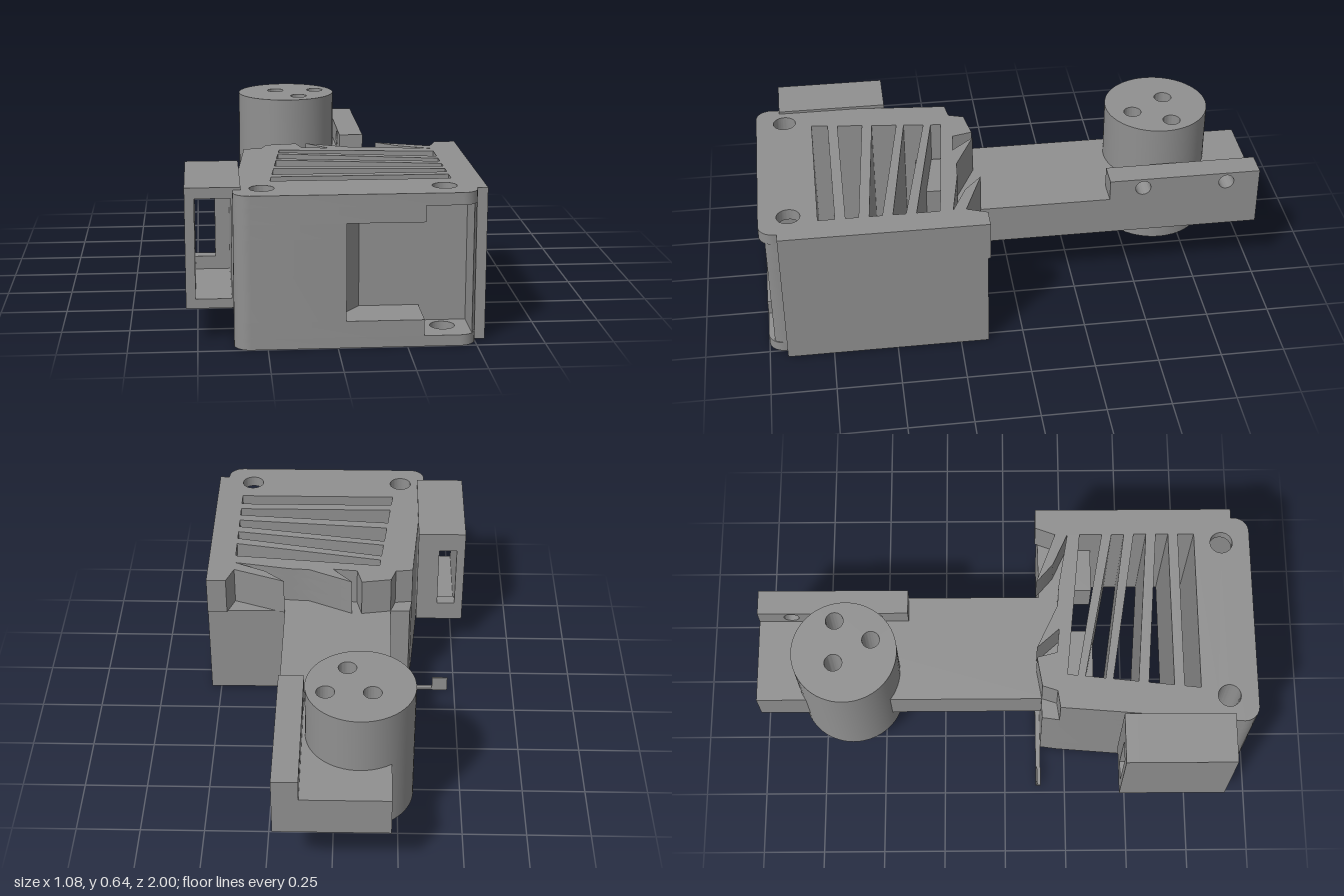
import * as THREE from 'three';
import { toCreasedNormals } from 'three/addons/utils/BufferGeometryUtils.js';

// Footprint helpers: points are [x, z] pairs, seen from above
const poly = (pts, Type = THREE.Path) => new Type(pts.map(([x, z]) => new THREE.Vector2(x, -z)));
const disc = (x, z, r, Type = THREE.Path) => {
  const p = new Type();
  p.absarc(x, -z, r, 0, Math.PI * 2);
  return p;
};

function extrude(shape, holes, depth) {
  shape.holes.push(...holes);
  const g = new THREE.ExtrudeGeometry(shape, { depth, bevelEnabled: false, curveSegments: 32 });
  return toCreasedNormals(g, 0.6);
}

// Upright prism from a footprint
function prism(shape, holes, y0, y1) {
  return extrude(shape, holes, y1 - y0).rotateX(-Math.PI / 2).translate(0, y0, 0);
}

export function createModel() {
  const grey = new THREE.MeshStandardMaterial({ color: 0x909090, side: THREE.DoubleSide });
  grey.name = 'grey plastic';
  const model = new THREE.Group();
  model.name = 'ventedBracket';

  const add = (name, geometry, parent = model) => {
    const m = new THREE.Mesh(geometry, grey);
    m.name = name;
    parent.add(m);
    return m;
  };
  const box = (name, x0, x1, y0, y1, z0, z1) =>
    add(name, new THREE.BoxGeometry(x1 - x0, y1 - y0, z1 - z0)
      .translate((x0 + x1) / 2, (y0 + y1) / 2, (z0 + z1) / 2));

  // Housing: stacked layers, each with its own rear edge and front pocket
  const plainRear = [[0.54, 0.14], [-0.3, 0.15], [-0.31, 0.22]];
  const brokenRear = [
    [0.54, 0.13], [0.46, 0.13], [0.43, 0.21], [0.22, 0.13], [0.3, 0.2], [0.43, 0.26],
    [0.2, 0.22], [0.12, 0.215], [-0.06, 0.13], [0.02, 0.22], [-0.08, 0.21],
    [-0.1, 0.13], [-0.22, 0.15], [-0.24, 0.21], [-0.31, 0.22],
  ];
  const arc = (cx, cz, r, a0, a1) => Array.from({ length: 9 }, (_, i) => {
    const a = a0 + (a1 - a0) * i / 8;
    return [cx + r * Math.cos(a), cz + r * Math.sin(a)];
  });
  const leftCorner = arc(-0.31, 0.94, 0.06, Math.PI, Math.PI / 2);
  const rightCorner = arc(0.44, 0.94, 0.06, Math.PI / 2, 0);
  const rightEdge = [[0.5, 0.93], [0.54, 0.93]];
  const pockets = {
    none: rightCorner,
    narrow: [[0.31, 1], [0.31, 0.82], [0.485, 0.82], [0.485, 0.977], [0.5, 0.94]],
    wide: [[0.03, 1], [0.03, 0.9], [0.09, 0.82], [0.485, 0.82], [0.485, 0.977], [0.5, 0.94]],
  };

  // Slanted vents: z at left (from, to) and at right (from, to)
  const vents = [
    [0.71, 0.775, 0.71, 0.775],
    [0.57, 0.67, 0.62, 0.67],
    [0.43, 0.53, 0.53, 0.58],
    [0.32, 0.40, 0.44, 0.49],
    [0.25, 0.29, 0.31, 0.40],
  ];
  const innerX = z => -0.145 - 0.11 * z;
  const ventHoles = () => vents.map(([a, b, c, d]) =>
    poly([[innerX(a), a], [0.43, c], [0.43, d], [innerX(b), b]]));

  const housing = new THREE.Group();
  housing.name = 'housing';
  model.add(housing);
  const layers = [
    [0, 0.04, 'none', plainRear],
    [0.04, 0.10, 'narrow', plainRear],
    [0.10, 0.405, 'wide', plainRear],
    [0.405, 0.46, 'wide', brokenRear],
    [0.46, 0.52, 'narrow', brokenRear],
    [0.52, 0.565, 'none', brokenRear],
  ];
  layers.forEach(([y0, y1, pocket, rear], i) => {
    const outline = poly([...rear, ...leftCorner, ...pockets[pocket], ...rightEdge], THREE.Shape);
    const holes = [...ventHoles(), disc(-0.265, 0.885, 0.045)];
    if (pocket === 'none') holes.push(disc(0.39, 0.885, 0.045));
    add('housingLayer' + (i + 1), prism(outline, holes, y0, y1), housing);
  });

  // Thin lip along the bottom rear edge, with a small tab
  box('rearLip', -0.47, -0.1, 0, 0.01, 0.13, 0.15);
  box('rearLipTab', -0.47, -0.405, 0, 0.065, 0.13, 0.136);

  // Side box: deep front recess with a narrower window in its back plate
  const rect = (x0, x1, y0, y1, Type = THREE.Path) =>
    poly([[x0, -y0], [x1, -y0], [x1, -y1], [x0, -y1]], Type);
  const frame = () => rect(-0.54, -0.34, 0.13, 0.575, THREE.Shape);
  add('sideBoxFrame', extrude(frame(), [rect(-0.505, -0.375, 0.165, 0.535)], 0.385).translate(0, 0, 0.52));
  add('sideBoxBack', extrude(frame(), [rect(-0.505, -0.43, 0.215, 0.49)], 0.05).translate(0, 0, 0.47));

  // Arm and its roots inside the housing
  const pivotHoles = () => [[-0.145, -0.67], [0.03, -0.67], [-0.05, -0.525]]
    .map(([x, z]) => disc(x, z, 0.035));
  const armOutline = poly([[-0.22, 0.18], [0.22, 0.18], [0.22, -1], [-0.22, -1]], THREE.Shape);
  add('arm', prism(armOutline, [...pivotHoles(), disc(0.155, -0.82, 0.025)], 0.245, 0.405));
  box('armRootLeft', -0.16, 0.07, 0.245, 0.405, 0.17, 0.36);
  box('armRootRight', 0.25, 0.43, 0.245, 0.405, 0.17, 0.36);

  // Pivot drum with three through holes
  add('pivotDrum', prism(disc(-0.1, -0.63, 0.208, THREE.Shape), pivotHoles(), 0.115, 0.64));

  // Rail on the arm with two cross holes
  const railShape = new THREE.Shape([[0.39, 0.405], [1, 0.405], [1, 0.49], [0.39, 0.49]]
    .map(([x, y]) => new THREE.Vector2(x, y)));
  const railHoles = [0.525, 0.865].map(x => disc(x, -0.449, 0.031));
  add('rail', extrude(railShape, railHoles, 0.1).rotateY(Math.PI / 2).translate(0.12, 0, 0));

  return model;
}
